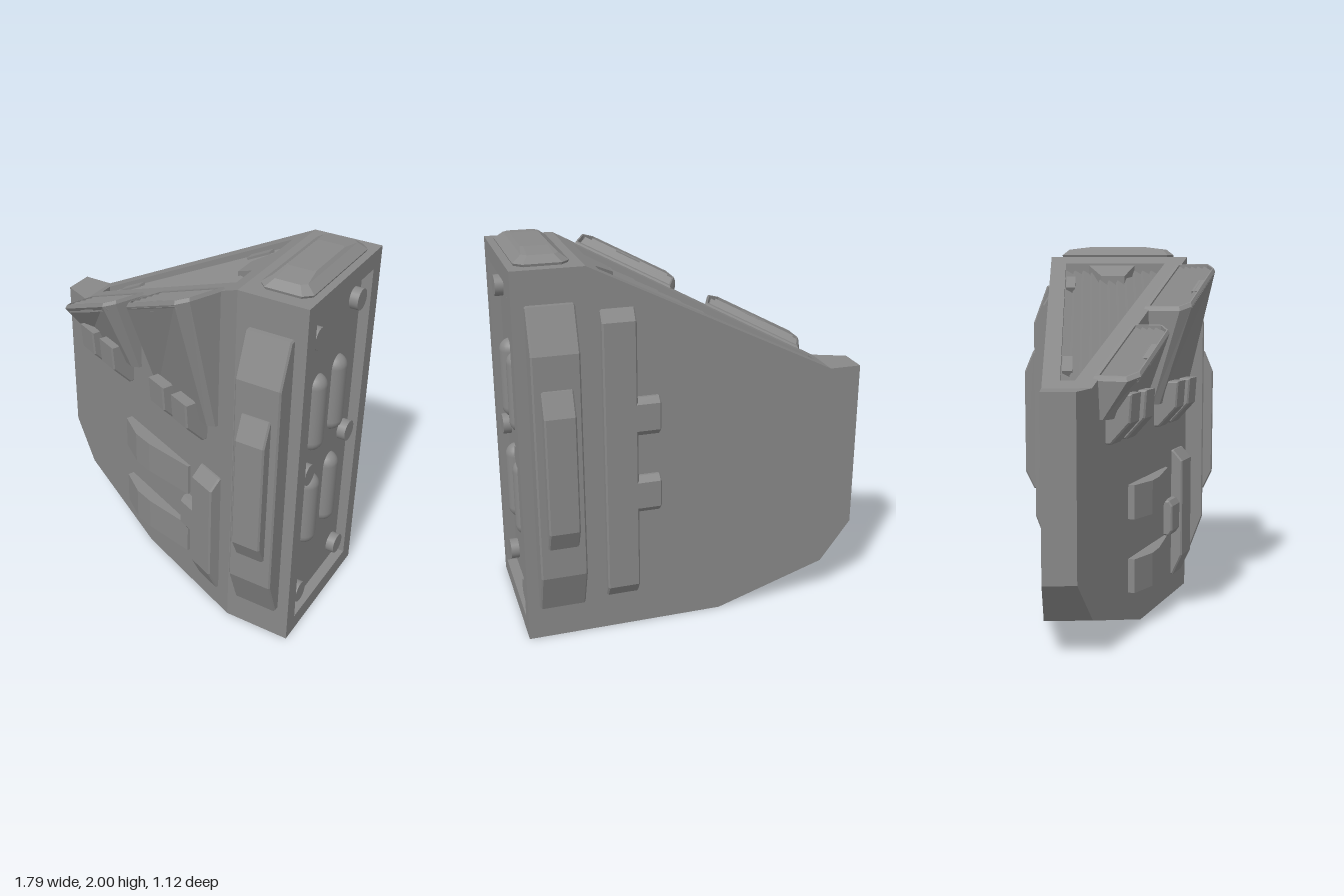
import * as THREE from 'three';

const mat = new THREE.MeshStandardMaterial({ color: 0x888888, flatShading: true, side: THREE.DoubleSide });
const smooth = new THREE.MeshStandardMaterial({ color: 0x888888 });
const V = (x, y, z) => new THREE.Vector3(x, y, z);
const shape = pts => new THREE.Shape(pts.map(p => new THREE.Vector2(...p)));

// Main dimensions of the wedge-shaped housing
const BACK = -0.385, FRONT = 0.395, LEFT = -0.895, RIGHT = 0.895, SLANT = 0.615 / 1.435;
const zFace = x => Math.min(FRONT, -0.22 + SLANT * (x - LEFT));
const yTop = x => 1.31 + 0.63 * THREE.MathUtils.clamp((x + 0.73) / 1.27, 0, 1);
const outline = [[LEFT, 0.41], [-0.73, 0.19], [-0.14, 0], [0.54, 0], [0.54, 1.94], [-0.73, 1.31], [LEFT, 1.31]];
const yBottom = x => x < -0.73 ? 0.41 - 0.22 * (x - LEFT) / (-0.73 - LEFT) : x < -0.14 ? -0.19 * (x + 0.14) / 0.59 : 0;

function add(parent, name, geometry, material = mat) {
  const mesh = new THREE.Mesh(geometry, material);
  mesh.name = name;
  parent.add(mesh);
  return mesh;
}

// Flat face from a 2D outline (and hole), placed in space by a mapping
function face(parent, name, pts, map, flip = false, hole = null) {
  const s = shape(pts);
  if (hole) s.holes.push(shape(hole));
  const g = new THREE.ShapeGeometry(s), p = g.attributes.position, idx = g.index.array;
  for (let i = 0; i < p.count; i++) p.setXYZ(i, ...map(p.getX(i), p.getY(i)).toArray());
  if (flip) for (let i = 0; i < idx.length; i += 3) [idx[i], idx[i + 1]] = [idx[i + 1], idx[i]];
  g.computeVertexNormals();
  add(parent, name, g);
}

// Skin between rings of equal point count, closed at the ends
function loft(rings, caps = true) {
  const n = rings[0].length, pos = [], tri = (...v) => v.forEach(q => pos.push(q.x, q.y, q.z));
  for (let k = 0; k + 1 < rings.length; k++) for (let i = 0; i < n; i++) {
    const a = rings[k], b = rings[k + 1], j = (i + 1) % n;
    tri(a[i], a[j], b[j]);
    tri(a[i], b[j], b[i]);
  }
  const last = rings[rings.length - 1];
  if (caps) for (let i = 1; i + 1 < n; i++) {
    tri(rings[0][0], rings[0][i + 1], rings[0][i]);
    tri(last[0], last[i], last[i + 1]);
  }
  const g = new THREE.BufferGeometry();
  g.setAttribute('position', new THREE.Float32BufferAttribute(pos, 3));
  g.computeVertexNormals();
  return g;
}

// Pocket walls and floor behind a hole
function pocket(parent, name, hole, map, depth, flip) {
  const deep = (u, v) => map(u, v).add(depth);
  add(parent, name + 'Walls', loft([hole.map(p => map(...p)), hole.map(p => deep(...p))], false));
  face(parent, name + 'Floor', hole, deep, flip);
}

// Profile of [outward, y] extruded along x with fine bevelled edges
function prism(parent, name, profile, x0, x1, z = 0, outward = 1) {
  const b = 0.008;
  const g = new THREE.ExtrudeGeometry(shape(profile), { depth: x1 - x0 - 2 * b, bevelThickness: b, bevelSize: b, bevelOffset: -b, bevelSegments: 1 });
  g.translate(0, 0, -(x1 - x0 - 2 * b) / 2).rotateY(-outward * Math.PI / 2);
  add(parent, name, g).position.set((x0 + x1) / 2, 0, z);
}

// Tilted louvre blade along x, following a height rule
function blade(parent, x0, x1, z, height, width) {
  const dy = height(x1) - height(x0);
  const m = add(parent, 'louvre', new THREE.BoxGeometry(Math.hypot(x1 - x0, dy), 0.018, width));
  m.position.set((x0 + x1) / 2, (height(x0) + height(x1)) / 2, z);
  m.rotation.set(0.55, 0, Math.atan2(dy, x1 - x0), 'ZYX');
}

function housing(root) {
  const g = new THREE.Group();
  g.name = 'housing';
  root.add(g);
  const block = [[0.54, 0], [RIGHT, 0], [RIGHT, 1.94], [0.54, 1.94]];
  for (const pts of [outline, block]) {
    face(g, 'frontFace', pts, (x, y) => V(x, y, zFace(x)));
    face(g, 'backFace', pts, (x, y) => V(x, y, BACK), true);
  }
  face(g, 'narrowEnd', [[BACK, 0.41], [-0.22, 0.41], [-0.22, 1.31], [BACK, 1.31]], (z, y) => V(LEFT, y, z));

  // Top and underside, with their louvred openings
  const plan = (a, b) => [[a, BACK], [b, BACK], [b, zFace(b)], [a, zFace(a)]];
  const onTop = (x, z) => V(x, yTop(x), z), onBottom = (x, z) => V(x, yBottom(x), z);
  const topHole = [[-0.67, -0.3], [0.46, -0.3], [0.46, 0.26], [-0.67, -0.23]];
  const lowHole = [[-0.03, -0.3], [0.46, -0.3], [0.46, 0.24], [-0.03, 0.03]];
  for (const [a, b, hole] of [[LEFT, -0.73], [-0.73, 0.54, topHole], [0.54, RIGHT]])
    face(g, 'top', plan(a, b), onTop, true, hole);
  for (const [a, b, hole] of [[LEFT, -0.73], [-0.73, -0.14], [-0.14, 0.54, lowHole], [0.54, RIGHT]])
    face(g, 'underside', plan(a, b), onBottom, false, hole);
  pocket(g, 'topVent', topHole, onTop, V(0, -0.08, 0), true);
  pocket(g, 'lowerVent', lowHole, onBottom, V(0, 0.07, 0), false);
  for (let z = -0.278; z < 0.25; z += 0.048) {
    blade(g, Math.max(-0.67, (z + 0.23) / 0.434 - 0.74), 0.46, z, x => yTop(x) - 0.058, 0.056);
    if (z < 0.24) blade(g, Math.max(-0.03, (z - 0.03) / 0.43 - 0.09), 0.46, z, () => 0.045, 0.056);
  }
  const wedge = [[0.46, 0.09], [0.46, -0.17], [0.34, -0.1], [0.34, 0.03]];
  add(g, 'ventBlock', loft([0.08, 0.01].map(d => wedge.map(([x, z]) => V(x, yTop(x) - d, z)))));
  for (const x of [-0.48, 0.31]) {
    const clip = add(g, 'ventClip', new THREE.BoxGeometry(0.14, 0.05, 0.05));
    clip.position.set(x, yTop(x) - 0.05, -0.27);
    clip.rotation.z = 0.46;
  }

  // Wide end with recessed panel, studs and rounded ribs
  const onEnd = (u, y) => V(RIGHT, y, -u);
  const endHole = [[-0.31, 0.09], [0.3, 0.09], [0.3, 1.85], [-0.31, 1.85]];
  face(g, 'wideEnd', [[-FRONT, 0], [-BACK, 0], [-BACK, 1.94], [-FRONT, 1.94]], onEnd, false, endHole);
  pocket(g, 'endPanel', endHole, onEnd, V(-0.055, 0, 0), false);
  for (const z of [0.235, -0.22]) for (const y of [0.2, 0.96, 1.72])
    add(g, 'stud', new THREE.CylinderGeometry(0.055, 0.055, 0.05, 24).rotateZ(-Math.PI / 2), smooth).position.set(0.86, y, z);
  for (const z of [0.13, -0.09]) for (const y of [0.67, 1.253])
    add(g, 'rib', new THREE.CapsuleGeometry(0.062, 0.306, 6, 20), smooth).position.set(0.828, y, z);
}

// Scoop on the slanted face: flared shell with an open louvred top
function scoop(parent, s0, s1, depth) {
  const g = new THREE.Group();
  g.name = 'scoop';
  parent.add(g);
  const rim = s => yTop(LEFT + 0.92 * s) + 0.015;
  const ring = (a, b, back, d, c, y) => [[a, back], [a, d - c], [a + c, d], [b - c, d], [b, d - c], [b, back]].map(([s, z]) => V(s, y(s), z));
  const inner = drop => ring(s0 + 0.015, s1 - 0.015, 0, depth - 0.015, 0.045, s => rim(s) - drop);
  add(g, 'scoopShell', loft([
    ring(s0 + 0.02, s1, -0.03, 0.045, 0.03, () => 1.15),
    ring(s0, s1, -0.03, depth, 0.05, s => rim(s) - 0.02),
    ring(s0 + 0.008, s1 - 0.008, -0.022, depth - 0.008, 0.048, rim),
    inner(0), inner(0.05)]));
  for (let z = 0.018; z < depth - 0.02; z += 0.036) {
    const cut = Math.max(0.018, z - depth + 0.075);
    blade(g, s0 + cut, s1 - cut, z, s => rim(s) - 0.025, 0.042);
  }
  const mid = (s0 + s1) / 2 + 0.01;
  const clip = add(g, 'scoopClip', new THREE.BoxGeometry(0.14, 0.04, 0.04));
  clip.position.set(mid, rim(mid) - 0.028, depth - 0.03);
  clip.rotation.z = 0.43;
  // Brackets wrapping the foot of the scoop
  for (const a of [s0 + 0.092, s0 + 0.292])
    prism(g, 'bracket', [[-0.02, 1.02], [0.025, 1.02], [0.125, 1.13], [0.135, 1.27], [-0.02, 1.27]], a, a + 0.132);
}

export function createModel() {
  const root = new THREE.Group();
  root.name = 'armouredPod';
  housing(root);

  // Rounded-off cap on the top
  const capRing = (y, hx, hz, c) => [[hx, hz - c], [hx, c - hz], [hx - c, -hz], [c - hx, -hz], [-hx, c - hz], [-hx, hz - c], [c - hx, hz], [hx - c, hz]]
    .map(([x, z]) => V(0.728 + x, y, z));
  add(root, 'topCap', loft([capRing(1.94, 0.128, 0.322, 0.04), capRing(1.952, 0.133, 0.325, 0.04), capRing(1.985, 0.088, 0.285, 0.025), capRing(2, 0.073, 0.16, 0.015)]));

  // Stepped straps on front and back
  for (const [z, o] of [[FRONT, 1], [BACK, -1]]) {
    prism(root, 'strap', [[-0.02, 0.185], [0.03, 0.185], [0.11, 0.4], [0.11, 1.56], [0.03, 1.775], [-0.02, 1.775]], 0.6, 0.835, z, o);
    prism(root, 'strapPad', [[0.09, 0.565], [0.12, 0.565], [0.17, 0.67], [0.17, 1.27], [0.12, 1.39], [0.09, 1.39]], 0.64, 0.795, z, o);
  }

  // Back rail with two tabs
  prism(root, 'backRail', [[-0.02, 0.19], [0.005, 0.19], [0.042, 0.25], [0.042, 1.67], [0.005, 1.73], [-0.02, 1.73]], 0.31, 0.48, BACK, -1);
  for (const y of [0.655, 1.075])
    prism(root, 'backTab', [[-0.02, y], [0.015, y], [0.042, y + 0.03], [0.042, y + 0.17], [0.015, y + 0.2], [-0.02, y + 0.2]], 0.19, 0.33, BACK, -1);

  // Fittings on the slanted face, in its own frame: x along, z outward
  const slant = new THREE.Group();
  slant.name = 'slantedFaceFittings';
  slant.position.set(LEFT, 0, -0.22);
  slant.rotation.y = -Math.atan(SLANT);
  root.add(slant);
  scoop(slant, 0.25, 0.755, 0.197);
  scoop(slant, 0.93, 1.44, 0.222);
  prism(slant, 'frontRail', [[-0.02, 0.12], [0.01, 0.12], [0.065, 0.24], [0.065, 0.79], [0.01, 0.85], [-0.02, 0.85]], 1.31, 1.475);
  prism(slant, 'frontTab', [[-0.02, 0.38], [0.03, 0.38], [0.05, 0.41], [0.05, 0.55], [0.03, 0.58], [-0.02, 0.58]], 1.185, 1.33);
  const bar = [[0.64, -0.02], [0.64, 0.035], [0.8, 0.075], [0.92, 0.07], [1.21, 0.015], [1.21, -0.02]];
  for (const y of [0.2, 0.59])
    add(slant, 'taperedBar', loft([y, y + 0.18].map(h => bar.map(([s, d]) => V(s, h, d)))));
  return root;
}
